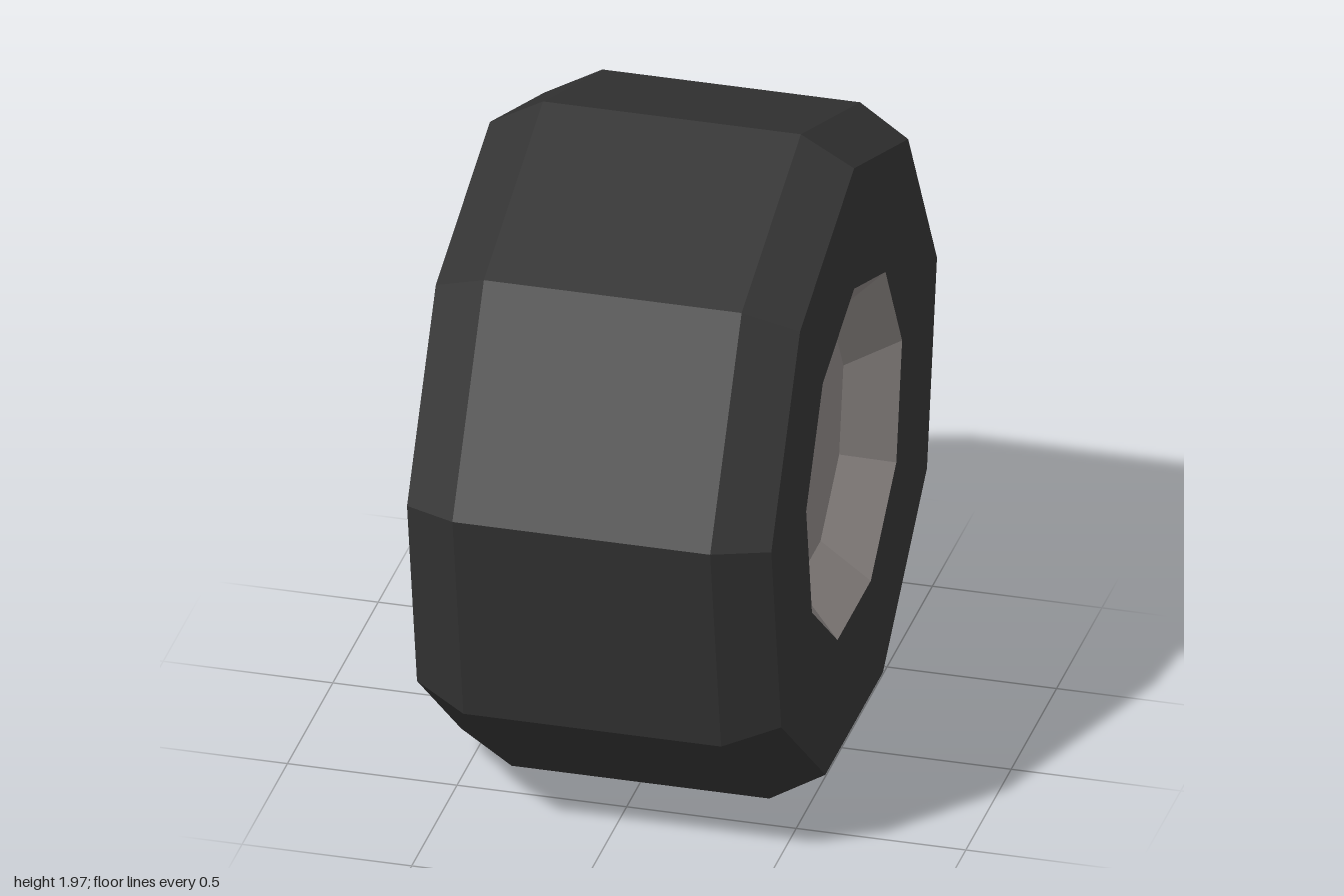
import * as THREE from 'three';

const SIDES = 9;
const RADIUS = 1 / Math.sin(THREE.MathUtils.degToRad(80)); // widest corners span 2 units
const AXLE_Y = RADIUS * Math.cos(Math.PI / SIDES);         // rests on a flat facet

// Turns a [radius, x] profile around the x axis, with one corner pointing up
function turned(name, profile, material) {
  const points = profile.map(([r, x]) => new THREE.Vector2(r, x));
  const geometry = new THREE.LatheGeometry(points, SIDES, -Math.PI / 2);
  geometry.rotateZ(-Math.PI / 2);
  const mesh = new THREE.Mesh(geometry, material);
  mesh.name = name;
  return mesh;
}

export function createModel() {
  const rubber = new THREE.MeshStandardMaterial({ color: 0x333333, flatShading: true });
  rubber.name = 'dark rubber';
  const metal = new THREE.MeshStandardMaterial({ color: 0x8a8482, flatShading: true });
  metal.name = 'warm grey metal';

  const wheel = new THREE.Group();
  wheel.name = 'wheel';

  // Tyre: closed inner wall, bevelled tread, outer wall open around the hub
  wheel.add(turned('tyre', [
    [0, -0.537], [0.927, -0.537], [RADIUS, -0.38],
    [RADIUS, 0.38], [0.927, 0.537], [0.537, 0.537],
  ], rubber));

  // Hub: dished recess with a flat floor
  wheel.add(turned('hub', [[0.537, 0.537], [0.392, 0.402], [0, 0.402]], metal));

  wheel.position.y = AXLE_Y;
  const model = new THREE.Group();
  model.name = 'wheelModel';
  model.add(wheel);
  return model;
}
